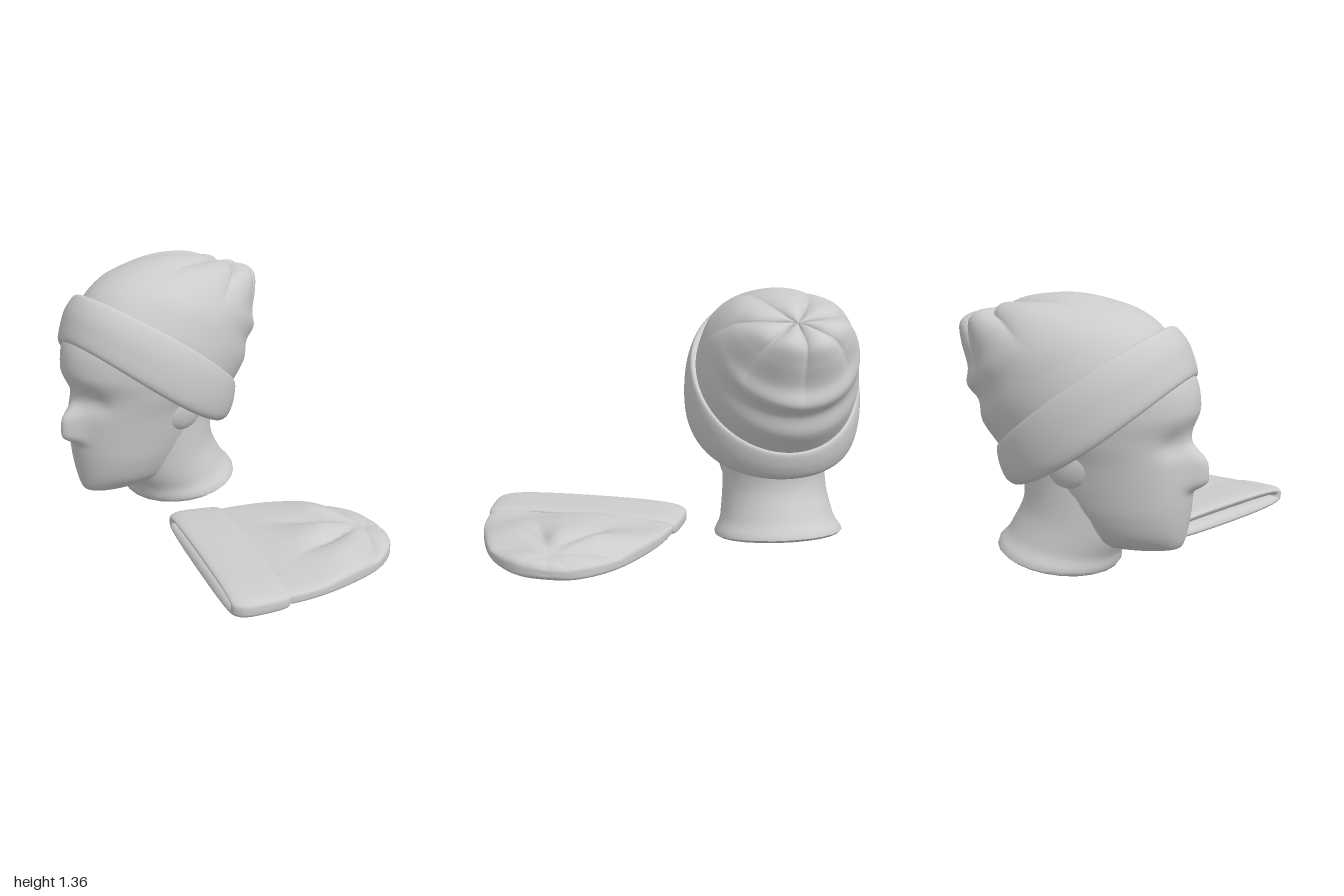
import * as THREE from 'three';
import { toCreasedNormals } from 'three/addons/utils/BufferGeometryUtils.js';

const material = new THREE.MeshStandardMaterial({ color: 0xcccccc, side: THREE.DoubleSide });
const { smoothstep } = THREE.MathUtils;
const bell = (d, width) => Math.exp(-((d / width) ** 2));
const signedPow = (v, p) => Math.sign(v) * Math.abs(v) ** p;

// Smooth interpolation through a list of sections, t from 0 to 1
function sectionAt(sections, t) {
  const last = sections.length - 1;
  const i = Math.min(Math.floor(t * last), last - 1);
  const f = t * last - i;
  const [a, b, c, d] = [-1, 0, 1, 2].map(k => sections[Math.min(Math.max(i + k, 0), last)]);
  return b.map((_, k) => b[k] + 0.5 * f * (c[k] - a[k]
    + f * (2 * a[k] - 5 * b[k] + 4 * c[k] - d[k] + f * (3 * (b[k] - c[k]) + d[k] - a[k]))));
}

// Skin of closed rings; place(section, angle, t) gives each point
function loft(sections, place, around, along) {
  const positions = [], index = [];
  for (let i = 0; i <= along; i++) {
    const t = i / along, s = sectionAt(sections, t);
    for (let j = 0; j < around; j++) {
      positions.push(...place(s, (j / around) * Math.PI * 2, t).toArray());
      if (i === along) continue;
      const a = i * around + j, b = i * around + (j + 1) % around;
      index.push(a, b, a + around, b, b + around, a + around);
    }
  }
  const geometry = new THREE.BufferGeometry();
  geometry.setAttribute('position', new THREE.Float32BufferAttribute(positions, 3));
  geometry.setIndex(index);
  geometry.computeVertexNormals();
  return geometry;
}

function part(name, geometry) {
  const mesh = new THREE.Mesh(geometry, material);
  mesh.name = name;
  return mesh;
}

// Tilted ring: section = [front y, front z, back y, back z, half width, side sag]
function tilted([yf, zf, yb, zb, w, sag = 0], a) {
  const c = Math.cos(a), s = Math.sin(a);
  return new THREE.Vector3(w * s, (yf + yb) / 2 + (yf - yb) / 2 * c - sag * s * s, (zf + zb) / 2 + (zf - zb) / 2 * c);
}

// Head surface with a blunt nose and shallow eye sockets
function facePoint(section, a) {
  const p = tilted(section, a);
  if (Math.cos(a) > 0) {
    const x = p.x, y = p.y;
    p.z += 0.085 * bell(x, 0.06) * bell((y - 0.54) ** 2, y < 0.54 ? 0.0055 : 0.013);
    p.z -= 0.025 * bell(Math.abs(x) - 0.13, 0.07) * bell(y - 0.69, 0.06);
  }
  return p;
}

// Worn crown: narrower to the back, with seven gathered pleats fading out from the apex
function crownPoint(section, a, t) {
  const p = tilted(section, a);
  const [yf, zf, yb, zb] = section;
  p.x *= 1 - 0.07 * smoothstep(t, 0.1, 0.45) * (1 - Math.cos(a));
  const valley = 1 - Math.abs(Math.cos(3.5 * a)) ** 0.7;
  const fade = smoothstep(t, 0.3, 0.9);
  const centre = new THREE.Vector3(0, (yf + yb) / 2, (zf + zb) / 2);
  p.lerp(centre, 0.11 * fade * valley);
  const dip = 0.045 * valley * fade * (1 - t ** 8);
  p.y -= 0.75 * dip;
  p.z += 0.65 * dip;
  return p;
}

// Flat ring: section = [distance back, half width, half height, centre height]
function flat([v, w, h, y], a) {
  return new THREE.Vector3(w * signedPow(Math.sin(a), 0.8), y + h * signedPow(Math.cos(a), 0.5), -v);
}

// Flat crown: creases radiate from the gather on the upper side
function flatCrownPoint(section, a) {
  const p = flat(section, a);
  const top = Math.max(0, Math.cos(a)) ** 0.6;
  const dz = p.z + 0.87, d = Math.hypot(p.x, dz), th = Math.atan2(p.x, dz);
  const lobe = Math.abs(Math.cos(3.5 * th)) ** 0.8;
  const forward = 0.2 + 0.8 * smoothstep(dz, -0.05, 0.25);
  p.y += top * forward * 0.055 * bell(d - 0.25, 0.18) * (lobe - 0.3);
  p.y += top * (0.008 * Math.sin(9 * p.x + 13 * p.z) - 0.01 * bell(d, 0.06));
  return p;
}

export function createModel() {
  const model = new THREE.Group();

  // Mannequin head wearing a beanie
  const bust = new THREE.Group();
  bust.name = 'mannequinWithHat';
  bust.position.x = -0.54;

  bust.add(part('head', loft([
    [0.16, 0.38, 0.16, 0.37, 0],
    [0.16, 0.47, 0.15, 0.2, 0.07],
    [0.185, 0.505, 0.155, 0.06, 0.12],
    [0.26, 0.525, 0.2, -0.06, 0.19],
    [0.36, 0.54, 0.32, -0.16, 0.24],
    [0.46, 0.547, 0.45, -0.25, 0.27],
    [0.6, 0.545, 0.6, -0.29, 0.3],
    [0.73, 0.54, 0.68, -0.31, 0.33],
    [0.85, 0.575, 0.78, -0.36, 0.345],
    [1.0, 0.54, 0.86, -0.36, 0.35],
    [1.1, 0.42, 0.95, -0.36, 0.3],
    [1.12, 0.05, 1.1, 0, 0],
  ], facePoint, 128, 110)));

  const neck = loft([
    [0.07, -0.13, 0.07, -0.13, 0],
    [0.022, 0.13, 0.13, -0.42, 0.318],
    [0.11, 0.18, 0.22, -0.375, 0.298],
    [0.22, 0.24, 0.36, -0.305, 0.274],
    [0.4, 0.28, 0.5, -0.3, 0.267],
    [0.6, 0.25, 0.65, -0.3, 0.27],
  ], tilted, 24, 25);
  bust.add(part('neck', toCreasedNormals(neck, 0.9)));

  // Shallow ears mostly tucked under the brim
  for (const side of [-1, 1]) {
    const ear = part('ear', new THREE.SphereGeometry(1, 20, 14));
    ear.scale.set(0.04, 0.1, 0.11);
    ear.position.set(side * 0.275, 0.58, 0.04);
    ear.rotation.set(-0.3, 0, side * -0.15);
    bust.add(ear);
  }

  bust.add(part('hatBrim', loft([
    [1.06, 0.48, 0.55, -0.25, 0.35, 0.05],
    [1.0, 0.5, 0.48, -0.27, 0.385, 0.07],
    [0.99, 0.53, 0.44, -0.32, 0.425, 0.07],
    [1.015, 0.548, 0.46, -0.37, 0.45, 0.065],
    [1.08, 0.53, 0.51, -0.4, 0.46, 0.045],
    [1.15, 0.5, 0.56, -0.415, 0.458, 0.02],
    [1.205, 0.455, 0.595, -0.418, 0.445, 0],
    [1.222, 0.42, 0.605, -0.405, 0.43, -0.01],
    [1.2, 0.385, 0.6, -0.38, 0.4, -0.01],
  ], tilted, 96, 48)));

  bust.add(part('hatCrown', loft([
    [1.14, 0.43, 0.55, -0.36, 0.41],
    [1.19, 0.4, 0.62, -0.42, 0.415],
    [1.25, 0.335, 0.72, -0.5, 0.415],
    [1.3, 0.24, 0.82, -0.52, 0.412],
    [1.335, 0.12, 0.89, -0.585, 0.397],
    [1.358, 0, 0.98, -0.58, 0.365],
    [1.362, -0.1, 1.1, -0.62, 0.312],
    [1.35, -0.22, 1.19, -0.635, 0.24],
    [1.33, -0.31, 1.24, -0.59, 0.155],
    [1.295, -0.39, 1.265, -0.49, 0.065],
    [1.27, -0.435, 1.27, -0.435, 0],
  ], crownPoint, 168, 90)));
  model.add(bust);

  // Second beanie lying flat
  const flatHat = new THREE.Group();
  flatHat.name = 'flatHat';
  flatHat.position.set(0.374, -0.003, 0.43);
  flatHat.rotation.y = -0.361;

  flatHat.add(part('flatBrim', loft([
    [0.22, 0.42, 0, 0.08],
    [0.15, 0.44, 0.006, 0.08],
    [0.02, 0.45, 0.01, 0.08],
    [-0.018, 0.475, 0.04, 0.079],
    [-0.006, 0.512, 0.06, 0.077],
    [0.05, 0.538, 0.067, 0.077],
    [0.17, 0.533, 0.067, 0.077],
    [0.245, 0.522, 0.062, 0.078],
    [0.27, 0.5, 0.045, 0.08],
    [0.25, 0.475, 0.03, 0.08],
  ], flat, 96, 54)));

  flatHat.add(part('flatCrown', loft([
    [0.2, 0.475, 0.04, 0.08],
    [0.27, 0.505, 0.05, 0.081],
    [0.4, 0.492, 0.056, 0.084],
    [0.54, 0.456, 0.06, 0.088],
    [0.7, 0.393, 0.06, 0.09],
    [0.81, 0.328, 0.056, 0.087],
    [0.895, 0.248, 0.05, 0.084],
    [0.95, 0.16, 0.042, 0.081],
    [0.974, 0.07, 0.022, 0.08],
    [0.976, 0, 0, 0.08],
  ], flatCrownPoint, 144, 100)));
  model.add(flatHat);

  return model;
}
